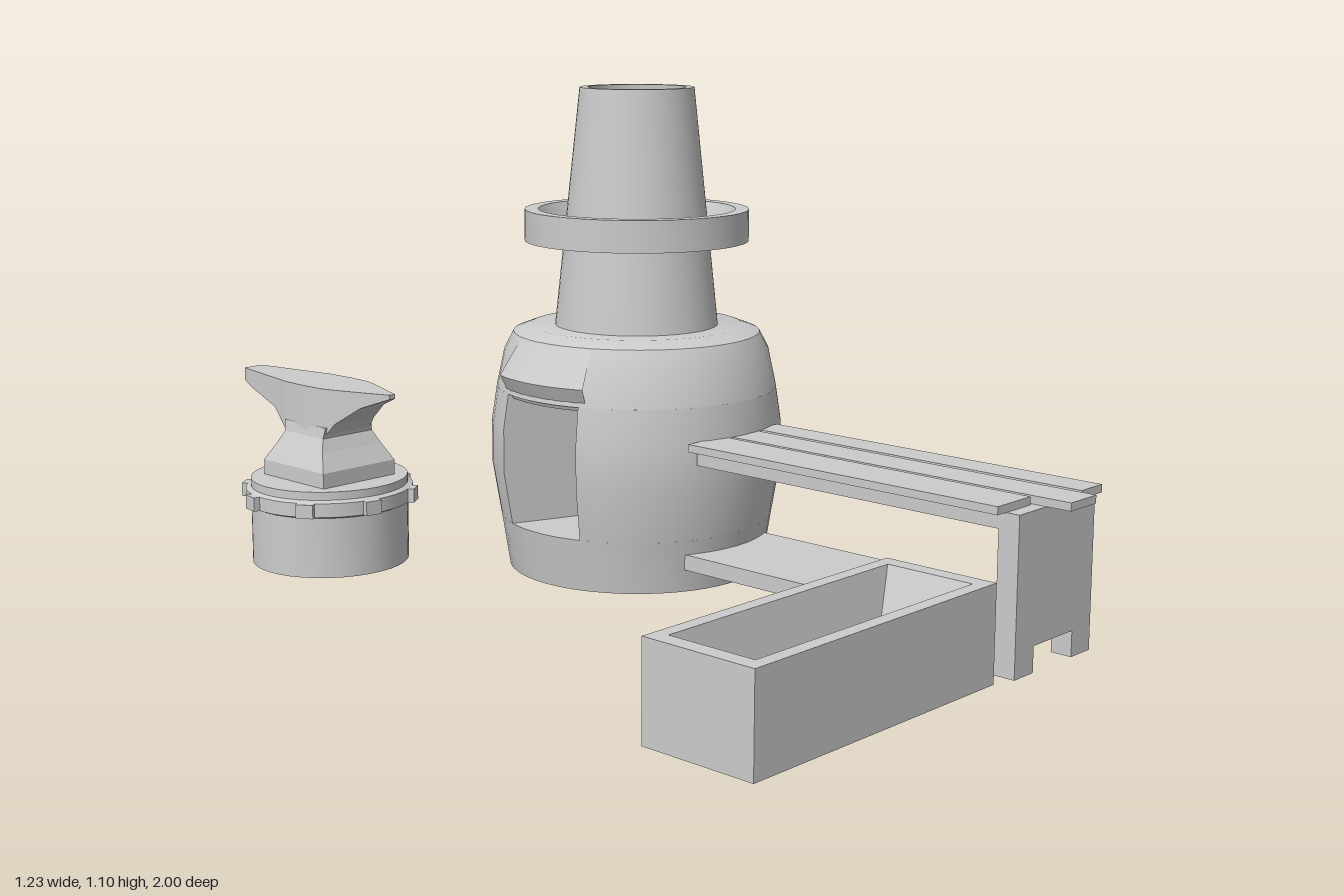
import * as THREE from 'three';
import { toCreasedNormals } from 'three/addons/utils/BufferGeometryUtils.js';

const material = new THREE.MeshStandardMaterial({ color: 0xcccccc });
const thin = new THREE.MeshStandardMaterial({ color: 0xcccccc, side: THREE.DoubleSide });

function add(parent, name, geometry, x = 0, y = 0, z = 0, mat = material) {
  const mesh = new THREE.Mesh(geometry, mat);
  mesh.name = name;
  mesh.position.set(x, y, z);
  parent.add(mesh);
  return mesh;
}

// Box given by its min and max on each axis
function slab(parent, name, x0, x1, y0, y1, z0, z1) {
  return add(parent, name, new THREE.BoxGeometry(x1 - x0, y1 - y0, z1 - z0),
    (x0 + x1) / 2, (y0 + y1) / 2, (z0 + z1) / 2);
}

// Turned surface from [radius, height] pairs, sharp at hard corners
function turned(points, segments = 48, start = 0, length = Math.PI * 2) {
  const profile = points.map(([r, y]) => new THREE.Vector2(r, y));
  return toCreasedNormals(new THREE.LatheGeometry(profile, segments, start, length), 0.6);
}

// Skin over a row of four-cornered rings, capped at both ends
function loft(rings) {
  const v = [];
  const quad = (a, b, c, d) => v.push(...a, ...b, ...c, ...a, ...c, ...d);
  for (let k = 0; k < rings.length - 1; k++) {
    for (let i = 0; i < 4; i++) {
      const j = (i + 1) % 4;
      quad(rings[k][i], rings[k][j], rings[k + 1][j], rings[k + 1][i]);
    }
  }
  quad(...[...rings[0]].reverse());
  quad(...rings[rings.length - 1]);
  const g = new THREE.BufferGeometry();
  g.setAttribute('position', new THREE.Float32BufferAttribute(v, 3));
  g.computeVertexNormals();
  return g;
}

const levelRing = (y, x0, x1, z0, z1) => [[x1, y, z1], [x1, y, z0], [x0, y, z0], [x0, y, z1]];
const uprightRing = (z, h, y0, y1) => [[h, y0, z], [h, y1, z], [-h, y1, z], [-h, y0, z]];

function makeFurnace() {
  const g = new THREE.Group();
  g.name = 'furnace';
  g.position.set(0.28, 0, -0.19);
  const side = Math.PI * 1.5, half = 0.35;

  // Barrel body with a gap for the fire opening on the -x side
  add(g, 'bodyBase', turned([[0, 0], [0.295, 0], [0.314, 0.12]]));
  add(g, 'bodyWall', turned([[0.314, 0.12], [0.334, 0.24], [0.334, 0.34], [0.322, 0.42]],
    42, side + half, Math.PI * 2 - 2 * half));
  add(g, 'bodyShoulder', turned([[0.322, 0.42], [0.304, 0.505], [0.283, 0.545], [0.243, 0.56], [0, 0.56]]));

  // Recess behind the opening
  add(g, 'fireRecess', turned([[0.322, 0.42], [0.15, 0.42], [0.15, 0.12], [0.314, 0.12]],
    8, side - half, 2 * half), 0, 0, 0, thin);
  const jamb = new THREE.Shape([[0.15, 0.12], [0.314, 0.12], [0.334, 0.24], [0.334, 0.34],
    [0.322, 0.42], [0.15, 0.42]].map(([x, y]) => new THREE.Vector2(x, y)));
  for (const s of [-1, 1]) {
    add(g, 'recessJamb', new THREE.ShapeGeometry(jamb), 0, 0, 0, thin)
      .rotation.y = side + s * half - Math.PI / 2;
  }
  add(g, 'openingHood', turned([[0.31, 0.41], [0.335, 0.462], [0.284, 0.542]],
    10, side - 0.4, 0.8), 0, 0, 0, thin);

  // Hollow tapered chimney and its dished collar
  add(g, 'chimney', turned([[0.187, 0.56], [0.13, 1.1], [0.112, 1.1], [0.15, 0.6], [0, 0.6]]));
  add(g, 'collar', turned([[0.15, 0.753], [0.256, 0.753], [0.256, 0.825], [0.225, 0.825],
    [0.205, 0.785], [0.15, 0.785]]));
  return g;
}

function makeBench() {
  const g = new THREE.Group();
  g.name = 'bench';
  // Top planks of uneven length
  for (const [x0, x1, end] of [[0.115, 0.228, 0.915], [0.238, 0.328, 1], [0.34, 0.415, 0.96]]) {
    slab(g, 'topPlank', x0, x1, 0.33, 0.347, 0.12, end);
  }
  slab(g, 'topBoard', 0.145, 0.415, 0.295, 0.33, 0.12, 0.94);
  slab(g, 'lowerBoard', 0.145, 0.415, 0.053, 0.088, 0.085, 0.91);

  // End board with a notch between its feet
  const end = new THREE.Shape([[0.145, 0], [0.21, 0], [0.21, 0.055], [0.348, 0.055], [0.348, 0],
    [0.415, 0], [0.415, 0.33], [0.145, 0.33]].map(([x, y]) => new THREE.Vector2(x, y)));
  add(g, 'endBoard', new THREE.ExtrudeGeometry(end, { depth: 0.047, bevelEnabled: false }), 0, 0, 0.898);
  return g;
}

function makeAnvil() {
  const g = new THREE.Group();
  g.name = 'anvilOnStump';
  g.position.set(-0.208, 0, -0.715);

  // Stump with an iron band and studs
  add(g, 'stump', turned([[0, 0], [0.182, 0], [0.182, 0.185], [0.182, 0.2], [0, 0.2]], 36));
  add(g, 'stumpBand', turned([[0.18, 0.138], [0.194, 0.144], [0.194, 0.176], [0.18, 0.182]], 36));
  for (let i = 0; i < 8; i++) {
    const a = i * Math.PI / 4 + 0.17;
    add(g, 'bandStud', new THREE.BoxGeometry(0.03, 0.032, 0.04),
      0.192 * Math.cos(a), 0.16, 0.192 * Math.sin(a)).rotation.y = -a;
  }

  // Foot and waist: [height, half width, half depth]
  add(g, 'anvilFoot', loft([[0.2, 0.105, 0.11], [0.235, 0.105, 0.11], [0.275, 0.086, 0.085],
    [0.305, 0.072, 0.07], [0.33, 0.068, 0.075]].map(([y, x, z]) => levelRing(y, -x, x, -z, z))));
  // Head with two horns: [z, half width, underside height]
  add(g, 'anvilHead', loft([[-0.285, 0.025, 0.39], [-0.255, 0.032, 0.38], [-0.13, 0.055, 0.35],
    [-0.075, 0.066, 0.305], [0, 0.07, 0.3], [0.065, 0.066, 0.305], [0.095, 0.058, 0.34],
    [0.16, 0.035, 0.383], [0.232, 0.008, 0.41]].map(([z, h, y]) => uprightRing(z, h, y, 0.42))));
  return g;
}

export function createModel() {
  const model = new THREE.Group();
  model.name = 'smithy';
  model.add(makeFurnace(), makeBench(), makeAnvil());

  // Water trough with sloping inner walls
  add(model, 'trough', loft([
    levelRing(0, -0.617, 0.097, 0.67, 0.93),
    levelRing(0.203, -0.617, 0.097, 0.67, 0.93),
    levelRing(0.203, -0.58, 0.06, 0.7, 0.9),
    levelRing(0.06, -0.51, 0, 0.725, 0.875),
  ]));
  return model;
}
